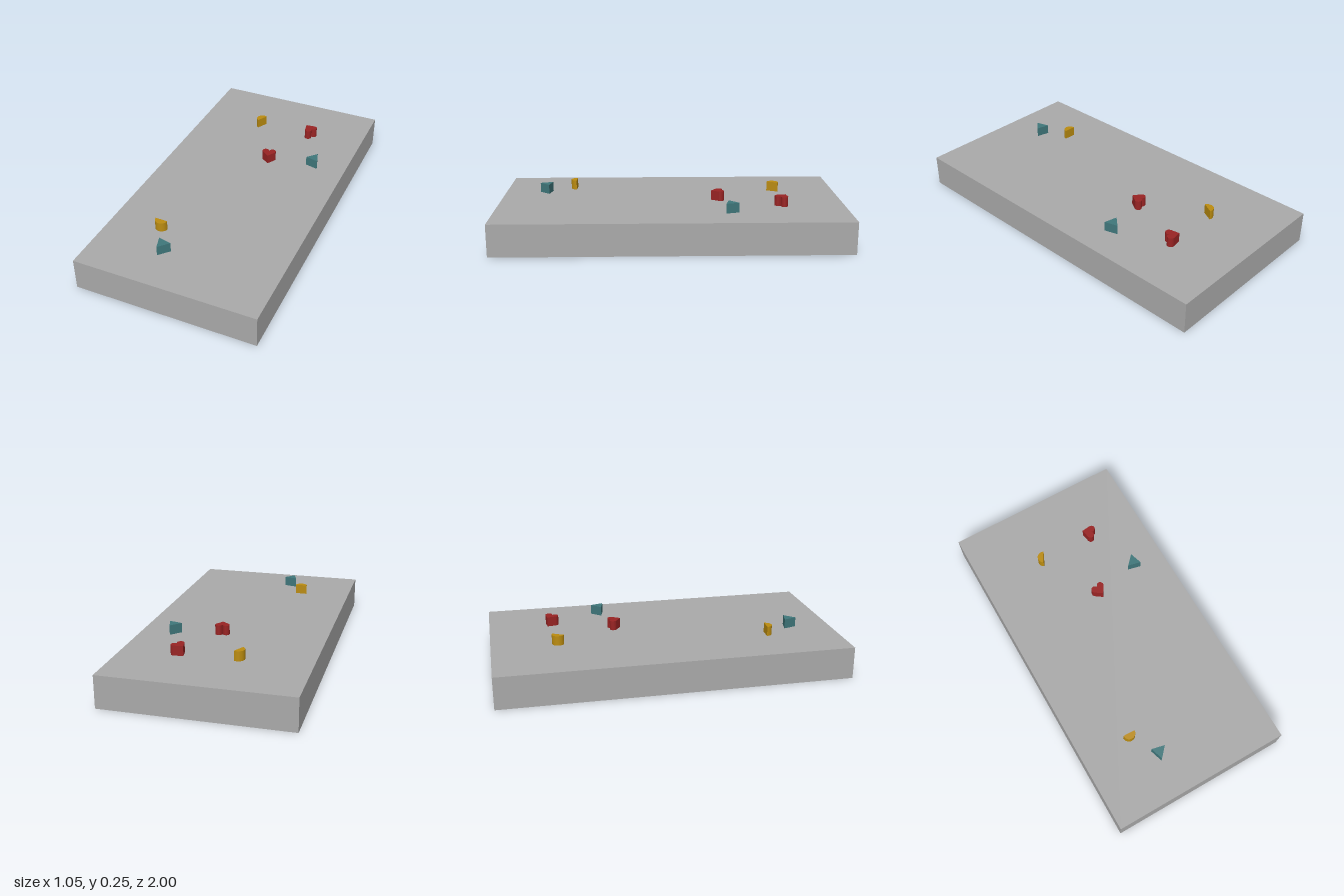
import * as THREE from 'three';

const BASE_TOP = 0.185, TOKEN_BOTTOM = 0.191, TOKEN_HEIGHT = 0.056;

// Outlines, drawn with their top pointing along +y
function heartShape() {
  const s = new THREE.Shape();
  s.moveTo(0, -0.035);
  s.lineTo(0.036, 0.003);
  s.bezierCurveTo(0.047, 0.016, 0.038, 0.037, 0.021, 0.037);
  s.bezierCurveTo(0.010, 0.037, 0.003, 0.029, 0, 0.019);
  s.bezierCurveTo(-0.003, 0.029, -0.010, 0.037, -0.021, 0.037);
  s.bezierCurveTo(-0.038, 0.037, -0.047, 0.016, -0.036, 0.003);
  s.closePath();
  return s;
}

function halfMoonShape() {
  const s = new THREE.Shape();
  s.absarc(0, 0, 0.0355, 0, Math.PI, false);
  s.closePath();
  return s;
}

function triangleShape() {
  const r = 0.045;
  return new THREE.Shape([0, 1, 2].map(i => {
    const a = Math.PI / 2 + i * Math.PI * 2 / 3;
    return new THREE.Vector2(r * Math.cos(a), r * Math.sin(a));
  }));
}

// Upright prism made from an outline
function prism(shape) {
  const g = new THREE.ExtrudeGeometry(shape, { depth: TOKEN_HEIGHT, bevelEnabled: false, curveSegments: 12 });
  g.rotateX(-Math.PI / 2);
  return g;
}

function material(name, color) {
  const m = new THREE.MeshStandardMaterial({ color });
  m.name = name;
  return m;
}

export function createModel() {
  const model = new THREE.Group();
  model.name = 'boardWithTokens';

  // Slab
  const slab = new THREE.Mesh(new THREE.BoxGeometry(1.05, BASE_TOP, 2), material('grey', 0xaaaaaa));
  slab.name = 'slab';
  slab.position.y = BASE_TOP / 2;
  model.add(slab);

  // Tokens: each spot is x, z and turn about the vertical
  const kinds = [
    { name: 'heartToken', shape: heartShape(), mat: material('red', 0x992323),
      spots: [[0.061, -0.270, 0.2], [0.192, -0.638, -2.21]] },
    { name: 'halfMoonToken', shape: halfMoonShape(), mat: material('gold', 0xbb8c10),
      spots: [[-0.127, -0.622, 1.09], [-0.226, 0.573, 3.1]] },
    { name: 'triangleToken', shape: triangleShape(), mat: material('teal', 0x3f777b),
      spots: [[0.331, -0.331, -0.23], [-0.130, 0.744, 2.92]] },
  ];
  for (const { name, shape, mat, spots } of kinds) {
    const geometry = prism(shape);
    spots.forEach(([x, z, turn], i) => {
      const token = new THREE.Mesh(geometry, mat);
      token.name = name + (i + 1);
      token.position.set(x, TOKEN_BOTTOM, z);
      token.rotation.y = turn;
      model.add(token);
    });
  }
  return model;
}
